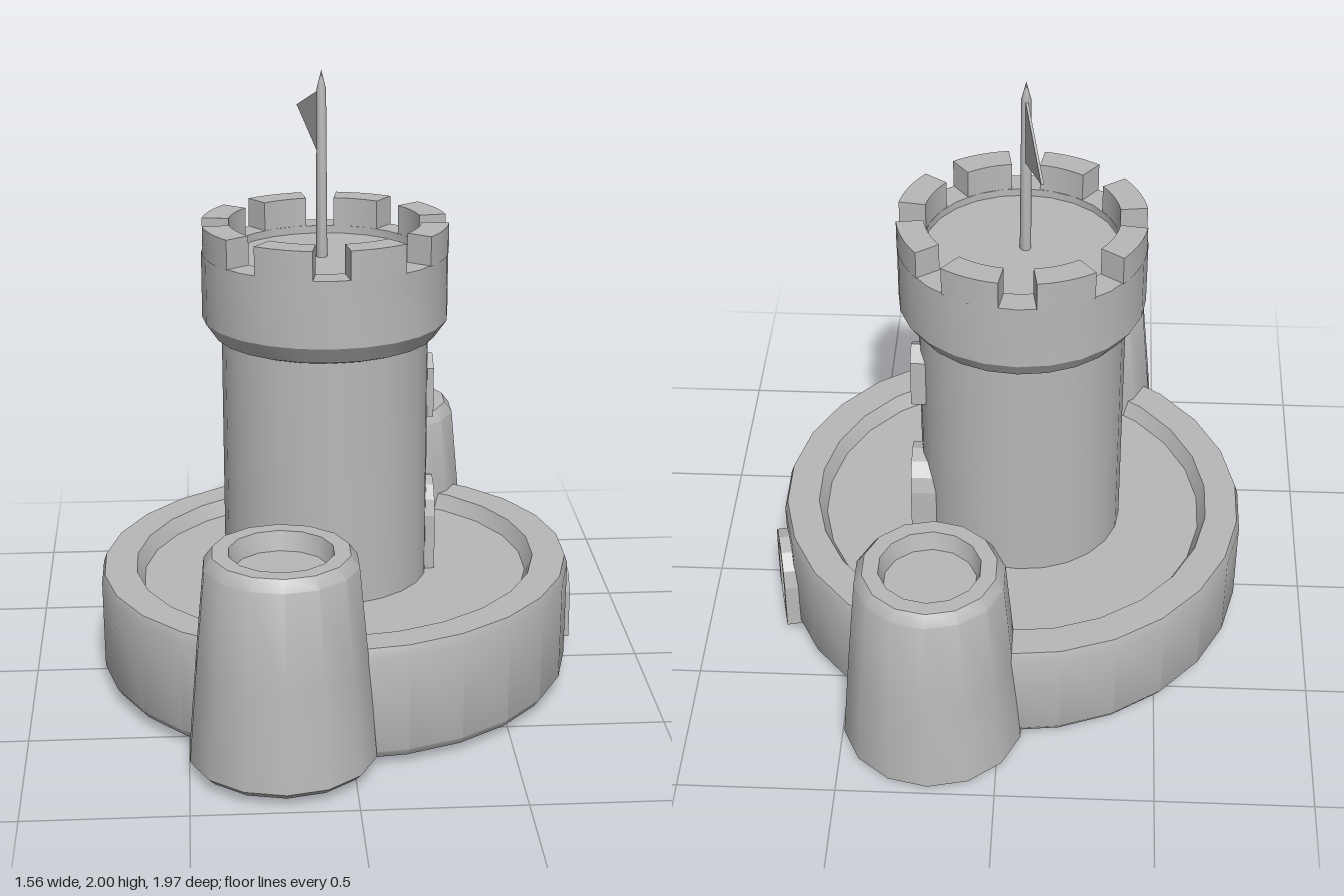
import * as THREE from 'three';
import { toCreasedNormals } from 'three/addons/utils/BufferGeometryUtils.js';

const stone = new THREE.MeshStandardMaterial({ color: 0xb8b8b8 });
stone.name = 'stone grey';

function part(name, geometry, parent) {
  const mesh = new THREE.Mesh(geometry, stone);
  mesh.name = name;
  parent.add(mesh);
  return mesh;
}

// Turned solid; profile runs from the bottom axis outward, up and back in
function turned(profile, sides, crease = 0.6) {
  const pts = profile.map(([r, y]) => new THREE.Vector2(r, y));
  return toCreasedNormals(new THREE.LatheGeometry(pts, sides), crease);
}

// Arched or pointed outline standing on y = 0
function archOutline(Type, w, h, pointed, y0 = 0) {
  const s = new Type();
  const half = w / 2;
  s.moveTo(-half, y0);
  s.lineTo(half, y0);
  if (pointed) {
    s.lineTo(half, h - 0.035);
    s.lineTo(0, h);
    s.lineTo(-half, h - 0.035);
  } else {
    const spring = h - half;
    for (let i = 0; i <= 6; i++) {
      const a = (i / 6) * Math.PI;
      s.lineTo(half * Math.cos(a), spring + half * Math.sin(a));
    }
  }
  s.closePath();
  return s;
}

// Raised surround with a recessed panel, facing local +z
function opening(name, w, h, border, depth, recess, pointed, sill) {
  const g = new THREE.Group();
  g.name = name;
  const outer = archOutline(THREE.Shape, w, h, pointed);
  const iw = w - 2 * border, ih = h - border;
  outer.holes.push(archOutline(THREE.Path, iw, ih, pointed, sill));
  const frame = part(name + 'Frame',
    new THREE.ExtrudeGeometry(outer, { depth, bevelEnabled: false }), g);
  frame.position.z = -depth;
  const panel = part(name + 'Panel', new THREE.ExtrudeGeometry(
    archOutline(THREE.Shape, iw + 0.005, ih + 0.002, pointed, sill - 0.002),
    { depth: depth - recess, bevelEnabled: false }), g);
  panel.position.z = -depth;
  return g;
}

export function createModel() {
  const model = new THREE.Group();
  model.name = 'castle';

  // Round base with a low parapet, its top tilted slightly
  const base = turned([[0, 0.03], [0.745, 0.03], [0.762, 0.055], [0.765, 0.36],
    [0.755, 0.39], [0.65, 0.39], [0.625, 0.34], [0, 0.34]], 26);
  const p = base.attributes.position;
  for (let i = 0; i < p.count; i++) {
    if (p.getY(i) > 0.2) p.setY(i, p.getY(i) + 0.02 * p.getX(i) + 0.01 * p.getZ(i));
  }
  part('base', base, model).position.set(-0.015, 0, -0.005);

  // Two tapered corner towers with shallow wells on top
  for (const [name, x, z, y, h] of [
    ['frontTower', -0.215, 0.69, 0.025, 0.675],
    ['backTower', 0.21, -0.7, 0, 0.685]]) {
    const tower = part(name, turned([[0, 0], [0.27, 0], [0.29, 0.02], [0.265, 0.33],
      [0.236, h - 0.035], [0.21, h], [0.16, h], [0.145, h - 0.06], [0, h - 0.06]], 14), model);
    tower.position.set(x, y, z);
  }

  // Keep: shaft, flared crown and battlements
  const keep = new THREE.Group();
  keep.name = 'keep';
  keep.position.set(-0.043, 0, -0.01);
  keep.scale.z = 0.94;
  model.add(keep);
  part('shaft', turned([[0, 0.3], [0.329, 0.3], [0.329, 1.16]], 24), keep);
  part('crown', turned([[0.325, 1.15], [0.352, 1.16], [0.39, 1.215], [0.39, 1.43],
    [0.305, 1.43], [0.305, 1.405], [0, 1.405]], 24, 0.4), keep);

  const gap = THREE.MathUtils.degToRad(8.5);
  for (let i = 0; i < 8; i++) {
    const a0 = i * Math.PI / 4 + gap, a1 = (i + 1) * Math.PI / 4 - gap;
    const s = new THREE.Shape();
    s.absarc(0, 0, 0.39, a0, a1, false);
    s.absarc(0, 0, 0.305, a1, a0, true);
    s.closePath();
    const g = new THREE.ExtrudeGeometry(s, { depth: 0.095, bevelEnabled: false, curveSegments: 3 });
    g.rotateX(-Math.PI / 2);
    part('merlon', toCreasedNormals(g, 0.5), keep).position.y = 1.428;
  }

  // Flagpole and pennant
  const pole = part('flagpole', turned([[0, 1.4], [0.018, 1.4], [0.015, 1.94], [0, 2]], 8, 0.9), model);
  pole.position.set(-0.053, 0, -0.015);
  const tri = new THREE.Shape();
  tri.moveTo(0, 1.72);
  tri.lineTo(0.3, 1.83);
  tri.lineTo(0, 1.94);
  tri.closePath();
  const flagGeo = new THREE.ExtrudeGeometry(tri, { depth: 0.008, bevelEnabled: false });
  flagGeo.translate(0, 0, -0.004);
  const flag = part('flag', flagGeo, model);
  flag.position.copy(pole.position);
  flag.rotation.y = 1.77;

  // Window and door of the keep, both facing +x
  const win = opening('window', 0.115, 0.2, 0.015, 0.06, 0.015, true, 0.015);
  win.position.set(0.307, 0.86, -0.07);
  win.rotation.y = Math.PI / 2;
  model.add(win);

  const door = opening('door', 0.21, 0.305, 0.03, 0.09, 0.02, false, 0.005);
  door.position.set(0.312, 0.33, -0.075);
  door.rotation.y = Math.PI / 2;
  model.add(door);
  const knob = part('doorKnob', new THREE.SphereGeometry(0.012, 8, 6), door);
  knob.position.set(0.05, 0.09, -0.015);

  // Gate in the base wall, turned with the wall
  const gate = opening('gate', 0.245, 0.285, 0.045, 0.09, 0.035, false, 0.005);
  gate.position.set(0.757, 0.04, -0.19);
  gate.rotation.y = THREE.MathUtils.degToRad(102.7);
  model.add(gate);

  return model;
}
